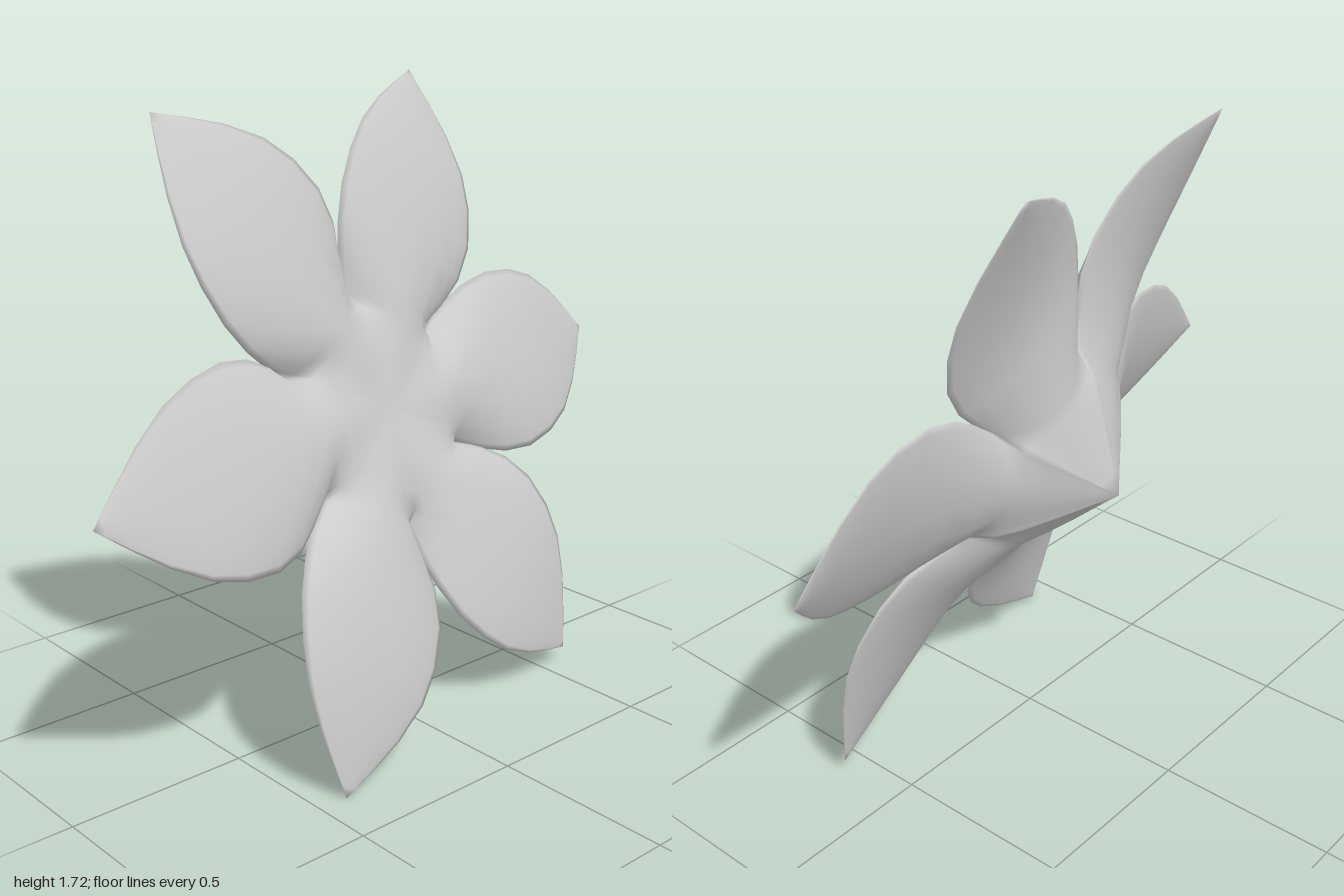
import * as THREE from 'three';
import { mergeVertices } from 'three/addons/utils/BufferGeometryUtils.js';

// Stations from flower centre to petal tip:
// [distance, half width, front midline, front edge, back edge, back midline]
const VALLEY = 0.285; // petals are joined up to here, free beyond
const TAN30 = Math.tan(Math.PI / 6);
const STATIONS = [
  [0, 0, 0.044, 0.044, -0.287, -0.287],
  [0.05, 0.05 * TAN30, 0.046, 0.046, -0.25, -0.253],
  [0.12, 0.12 * TAN30, 0.05, 0.049, -0.2, -0.206],
  [0.2, 0.2 * TAN30, 0.057, 0.046, -0.14, -0.155],
  [0.25, 0.25 * TAN30, 0.063, 0.024, -0.095, -0.122],
  [VALLEY, VALLEY * TAN30, 0.067, -0.03, -0.03, -0.102],
  [0.36, 0.213, 0.071, 0.0, 0.0, -0.072],
  [0.45, 0.25, 0.074, 0.026, 0.026, -0.032],
  [0.55, 0.265, 0.075, 0.042, 0.042, -0.003],
  [0.66, 0.25, 0.07, 0.047, 0.047, 0.01],
  [0.76, 0.213, 0.059, 0.043, 0.043, 0.013],
  [0.86, 0.145, 0.041, 0.03, 0.03, 0.011],
  [0.94, 0.073, 0.022, 0.015, 0.015, 0.004],
  [0.99, 0.024, 0.009, 0.005, 0.005, 0],
  [1.015, 0, 0, 0, 0, 0],
];
const ACROSS = [-1, -0.93, -0.75, -0.4, 0, 0.4, 0.75, 0.93, 1];

export function createModel() {
  const group = new THREE.Group();

  // Tilted flower frame: axis faces out of the bloom, u0 runs along the first petal
  const axis = new THREE.Vector3(1, 0.324, -0.157).normalize();
  const u0 = new THREE.Vector3(0.17, -0.045, 1);
  u0.addScaledVector(axis, -u0.dot(axis)).normalize();
  const centre = new THREE.Vector3(0, 0.86, 0);

  const positions = [];
  const tri = (...points) => points.forEach((p) => positions.push(p.x, p.y, p.z));

  for (let k = 0; k < 6; k++) {
    const along = u0.clone().applyAxisAngle(axis, (k * Math.PI) / 3);
    const side = new THREE.Vector3().crossVectors(axis, along);

    // Point on the front or back face; joined stations meet the next petal level
    const point = ([d, w, front, edgeF, edgeB, back], s, isFront) => {
      const edge = isFront ? edgeF : edgeB;
      const mid = isFront ? front : back;
      const bulge = d < VALLEY ? (1 - s * s) ** 2 : 1 - Math.abs(s) ** (isFront ? 3 : 2.2);
      return centre.clone().addScaledVector(along, d)
        .addScaledVector(side, w * s)
        .addScaledVector(axis, edge + (mid - edge) * bulge);
    };

    const last = STATIONS.length - 2;
    for (const isFront of [true, false]) {
      for (let i = 0; i <= last; i++) {
        for (let j = 0; j < ACROSS.length - 1; j++) {
          const a = point(STATIONS[i], ACROSS[j], isFront);
          const b = point(STATIONS[i + 1], ACROSS[j], isFront);
          const c = point(STATIONS[i + 1], ACROSS[j + 1], isFront);
          const d = point(STATIONS[i], ACROSS[j + 1], isFront);
          // Single triangles where a strip closes to the centre or the tip
          if (i < last) isFront ? tri(a, b, c) : tri(a, c, b);
          if (i > 0) isFront ? tri(a, c, d) : tri(a, d, c);
        }
      }
    }
  }

  // Weld petals together so the bloom shades as one smooth surface
  let geometry = new THREE.BufferGeometry();
  geometry.setAttribute('position', new THREE.Float32BufferAttribute(positions, 3));
  geometry = mergeVertices(geometry, 1e-4);
  geometry.computeVertexNormals();

  const flower = new THREE.Mesh(
    geometry,
    new THREE.MeshStandardMaterial({ color: 0xcccccc, side: THREE.DoubleSide }),
  );
  flower.name = 'sixPetalFlower';
  group.add(flower);
  return group;
}
